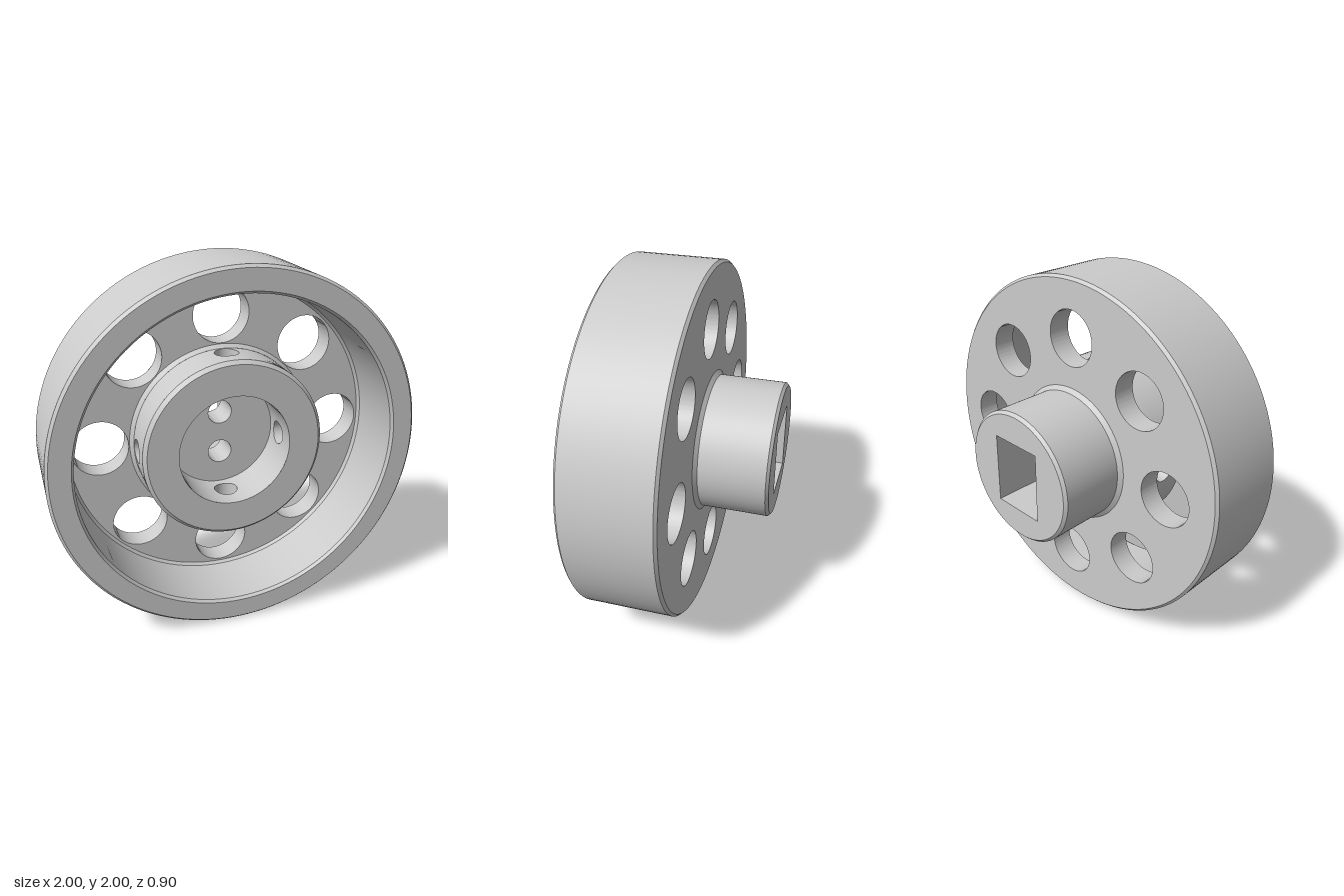
import * as THREE from 'three';
import { toCreasedNormals } from 'three/addons/utils/BufferGeometryUtils.js';
import { ParametricGeometry } from 'three/addons/geometries/ParametricGeometry.js';

const grey = new THREE.MeshStandardMaterial({ color: 0xcccccc });
const BACK = -0.05, WEB_FRONT = 0.08;               // web faces
const BORE = 0.31, HUB = 0.5, FLOOR = 0.06;         // front hub
const SOCKET_FLOOR = -0.13, END = -0.45;            // rear shaft
const PIN_R = 0.065, PIN_Z = 0.17;                  // radial holes in the hub

function add(parent, name, geometry) {
  const mesh = new THREE.Mesh(geometry, grey);
  mesh.name = name;
  parent.add(mesh);
  return mesh;
}

// Surface turned about the z axis, from [radius, z] pairs
function turned(points) {
  const g = new THREE.LatheGeometry(points.map(p => new THREE.Vector2(...p)), 128);
  g.rotateX(Math.PI / 2);
  return toCreasedNormals(g, 0.5);
}

function circle(x, y, r, Type = THREE.Path) {
  const c = new Type();
  c.absarc(x, y, r, 0, Math.PI * 2, false);
  return c;
}

// Round plate with holes between two z levels
function plate(radius, holes, z0, z1) {
  const shape = circle(0, 0, radius, THREE.Shape);
  shape.holes.push(...holes);
  const g = new THREE.ExtrudeGeometry(shape, { depth: z1 - z0, bevelEnabled: false, curveSegments: 64 });
  g.translate(0, 0, z0);
  return toCreasedNormals(g, 0.5);
}

// Point on the edge of a radial hole where it meets a cylinder of radius R
function holeEdge(t, R) {
  return [Math.asin(PIN_R * Math.cos(t) / R), PIN_Z + PIN_R * Math.sin(t)];
}

// Quarter of a cylinder wall pierced by one radial hole
function piercedQuarter(R, z0, z1, outward) {
  const corners = [[-1, z0], [1, z0], [1, z1], [-1, z1]];
  return new ParametricGeometry((u, v, target) => {
    const s = 4 * (outward ? 1 - u : u);
    const k = Math.min(3, Math.floor(s));
    const [c, d] = [corners[k], corners[(k + 1) % 4]];
    const a = THREE.MathUtils.lerp(c[0], d[0], s - k) * Math.PI / 4;
    const z = THREE.MathUtils.lerp(c[1], d[1], s - k);
    const [ha, hz] = holeEdge(Math.atan2(z - PIN_Z, a * R), R);
    const angle = THREE.MathUtils.lerp(ha, a, v);
    target.set(R * Math.cos(angle), R * Math.sin(angle), THREE.MathUtils.lerp(hz, z, v));
  }, 96, 10);
}

// Wall of a radial hole, from bore to hub surface
function pinTunnel() {
  return new ParametricGeometry((u, v, target) => {
    const R = THREE.MathUtils.lerp(BORE, HUB, v);
    const [a, z] = holeEdge(-u * Math.PI * 2, R);
    target.set(R * Math.cos(a), R * Math.sin(a), z);
  }, 64, 2);
}

export function createModel() {
  const model = new THREE.Group();
  model.name = 'wheel';
  model.position.y = 1;

  // Rim with chamfered edges and a small chamfer where it meets the web
  add(model, 'rim', turned([
    [0.85, BACK], [0.985, BACK], [1, BACK + 0.015], [1, 0.435], [0.985, 0.45],
    [0.875, 0.45], [0.862, 0.435], [0.862, 0.095], [0.848, WEB_FRONT],
  ]));

  // Web with eight lightening holes
  const webHoles = [circle(0, 0, 0.38)];
  for (let i = 0; i < 8; i++) {
    const a = i * Math.PI / 4;
    webHoles.push(circle(0.68 * Math.cos(a), 0.68 * Math.sin(a), 0.155));
  }
  add(model, 'web', plate(0.85, webHoles, BACK, WEB_FRONT));

  // Front hub: flared foot, chamfered lip and face
  add(model, 'hubFoot', turned([[0.52, WEB_FRONT], [HUB, 0.1]]));
  add(model, 'hubFace', turned([[HUB, 0.31], [0.48, 0.33], [BORE, 0.33]]));

  // Hub walls with four radial holes
  for (let i = 0; i < 4; i++) {
    const quarter = new THREE.Group();
    quarter.name = 'hubQuarter' + (i + 1);
    quarter.rotation.z = i * Math.PI / 2;
    add(quarter, 'hubOuterWall', piercedQuarter(HUB, 0.1, 0.31, true));
    add(quarter, 'boreWall', piercedQuarter(BORE, FLOOR, 0.33, false));
    add(quarter, 'radialHole', pinTunnel());
    model.add(quarter);
  }

  // Bore floor with two through holes
  const floorHoles = [-0.12, 0.12].map(y => circle(0, y, 0.068));
  add(model, 'boreFloor', plate(BORE + 0.005, floorHoles, SOCKET_FLOOR, FLOOR));

  // Rear shaft skin, and its end with a rectangular socket
  add(model, 'rearShaft', turned([
    [0.36, END], [0.376, END + 0.016], [0.376, -0.07], [0.4, BACK],
  ]));
  const socket = new THREE.Path([[-0.155, -0.2], [0.155, -0.2], [0.155, 0.2], [-0.155, 0.2]]
    .map(p => new THREE.Vector2(...p)));
  add(model, 'shaftSocket', plate(0.36, [socket], END, SOCKET_FLOOR));

  return model;
}
